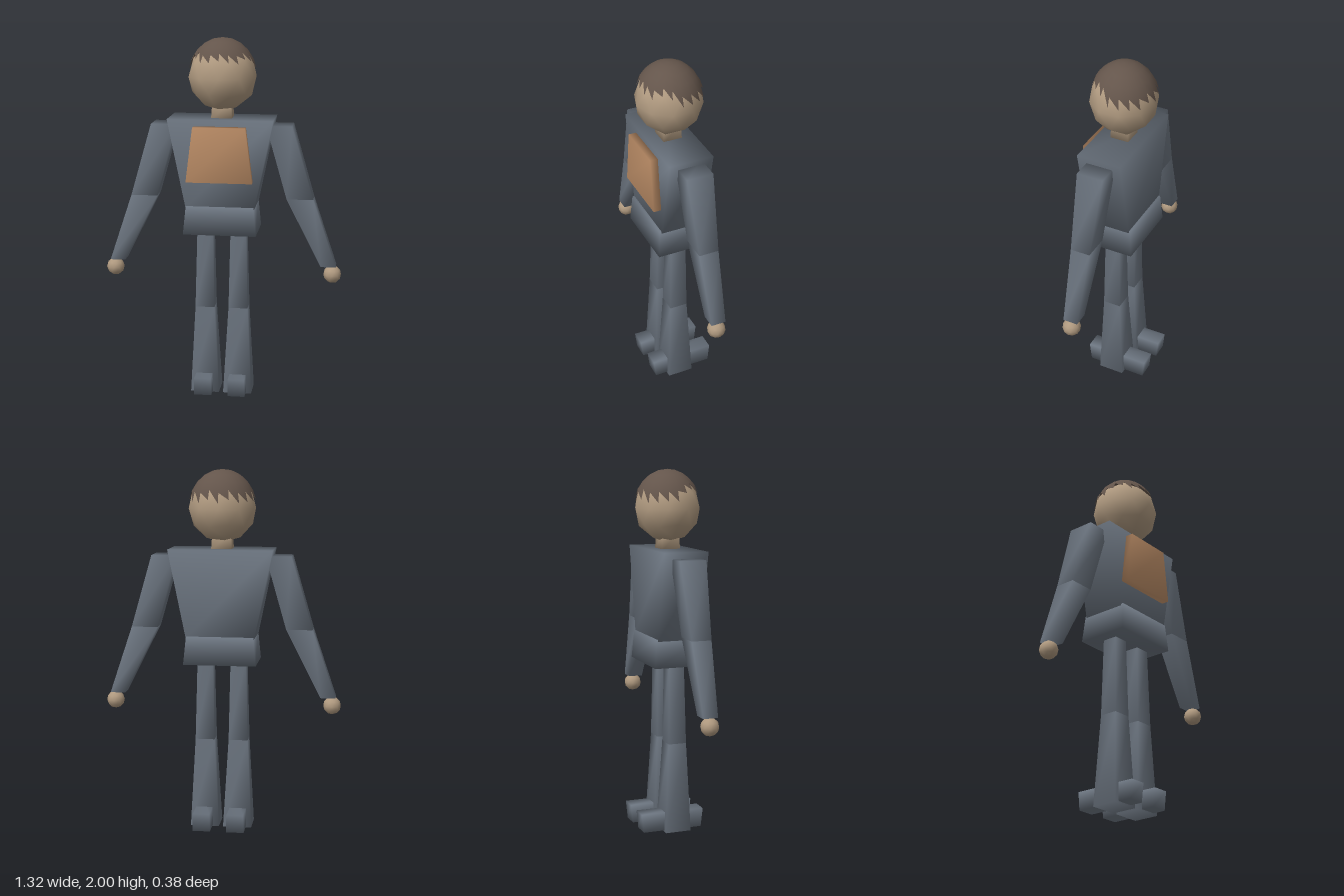
import * as THREE from 'three';

const mat = (name, color) => Object.assign(new THREE.MeshStandardMaterial({ color }), { name });

// Softly shaded tapered block; each end is [x0, x1, z0, z1] at its height
function taper(yLow, low, yHigh, high) {
  const ring = (y, [x0, x1, z0, z1]) => [x0, y, z0, x1, y, z0, x1, y, z1, x0, y, z1];
  const g = new THREE.BufferGeometry();
  g.setAttribute('position', new THREE.Float32BufferAttribute([...ring(yLow, low), ...ring(yHigh, high)], 3));
  const index = [0, 1, 2, 0, 2, 3, 4, 6, 5, 4, 7, 6];
  for (let i = 0; i < 4; i++) {
    const j = (i + 1) % 4;
    index.push(i, i + 4, j, j, i + 4, j + 4);
  }
  g.setIndex(index);
  g.computeVertexNormals();
  return g;
}

// Low-poly ball with a vertex at its top
function ball(r) {
  const g = new THREE.IcosahedronGeometry(r, 1);
  g.rotateX(-Math.atan((1 + Math.sqrt(5)) / 2));
  g.rotateY(Math.PI / 2);
  return g;
}

// Cap over the skull with a jagged hairline; rim heights run from front to back
function hairCap() {
  const rim = [0.095, 0.085, 0.078, 0.1, 0.085, 0.042, 0.04, 0.035, 0.03, 0.05, 0.03];
  const cols = 20, rows = 5, rx = 0.188, ry = 0.21, rz = 0.183;
  const g = new THREE.SphereGeometry(1, cols, rows);
  const p = g.attributes.position;
  for (let row = 0; row <= rows; row++) {
    for (let c = 0; c <= cols; c++) {
      const h = rim[c <= 10 ? c : cols - c];
      const polar = Math.acos(h / ry) * row / rows;
      const a = c / cols * Math.PI * 2;
      p.setXYZ(row * (cols + 1) + c,
        rx * Math.sin(polar) * Math.sin(a), ry * Math.cos(polar), rz * Math.sin(polar) * Math.cos(a));
    }
  }
  // Radial normals keep the cap smooth across its seam
  for (let i = 0; i < p.count; i++) {
    const n = new THREE.Vector3(p.getX(i) / rx ** 2, p.getY(i) / ry ** 2, p.getZ(i) / rz ** 2).normalize();
    g.attributes.normal.setXYZ(i, n.x, n.y, n.z);
  }
  return g;
}

export function createModel() {
  const model = new THREE.Group();
  model.name = 'figure';
  const suit = mat('slate suit', 0x6b747f);
  const skin = mat('skin', 0xb09a80);
  const hair = mat('brown hair', 0x64554b);
  hair.side = THREE.DoubleSide;
  const tan = mat('tan panel', 0xb98b65);

  const add = (name, geometry, material, x = 0, y = 0, z = 0) => {
    const m = new THREE.Mesh(geometry, material);
    m.name = name;
    m.position.set(x, y, z);
    model.add(m);
    return m;
  };

  // Trunk
  add('pelvis', taper(0.94, [-0.2, 0.2, -0.133, 0.157], 1.095, [-0.185, 0.185, -0.122, 0.147]), suit);
  add('chest', taper(1.085, [-0.188, 0.188, -0.113, 0.135], 1.57, [-0.287, 0.287, -0.113, 0.135]), suit);
  add('chestPanel', taper(1.235, [-0.18, 0.18, 0.13, 0.178], 1.535, [-0.142, 0.142, 0.13, 0.178]), tan);

  // Head
  add('neck', taper(1.56, [-0.057, 0.057, -0.043, 0.063], 1.66, [-0.05, 0.05, -0.037, 0.057]), skin);
  add('head', ball(0.187), skin, 0, 1.79, 0.008).scale.z = 0.97;
  add('hair', hairCap(), hair, 0, 1.79, 0.008);

  // Limbs, given for the left side and mirrored to the right
  for (const [side, s] of [['left', 1], ['right', -1]]) {
    const span = (x0, x1, z0, z1) => (s > 0 ? [x0, x1, z0, z1] : [-x1, -x0, z0, z1]);
    const limb = (name, yl, low, yh, high) =>
      add(side + name, taper(yl, span(...low), yh, span(...high)), suit);

    limb('UpperArm', 1.133, [0.358, 0.503, -0.045, 0.065], 1.535, [0.245, 0.384, -0.065, 0.083]);
    limb('Forearm', 0.753, [0.55, 0.633, -0.032, 0.05], 1.133, [0.358, 0.503, -0.045, 0.065]);
    add(side + 'Hand', ball(0.05), skin, s * 0.613, 0.705, 0.012);

    limb('Thigh', 0.5, [0.04, 0.147, -0.036, 0.065], 0.96, [0.05, 0.135, -0.03, 0.055]);
    limb('Shin', 0, [0.012, 0.172, -0.062, 0.085], 0.5, [0.04, 0.147, -0.036, 0.065]);
    limb('Foot', 0.008, [0.046, 0.143, -0.182, 0.157], 0.11, [0.048, 0.141, -0.193, 0.17]);
  }
  return model;
}
